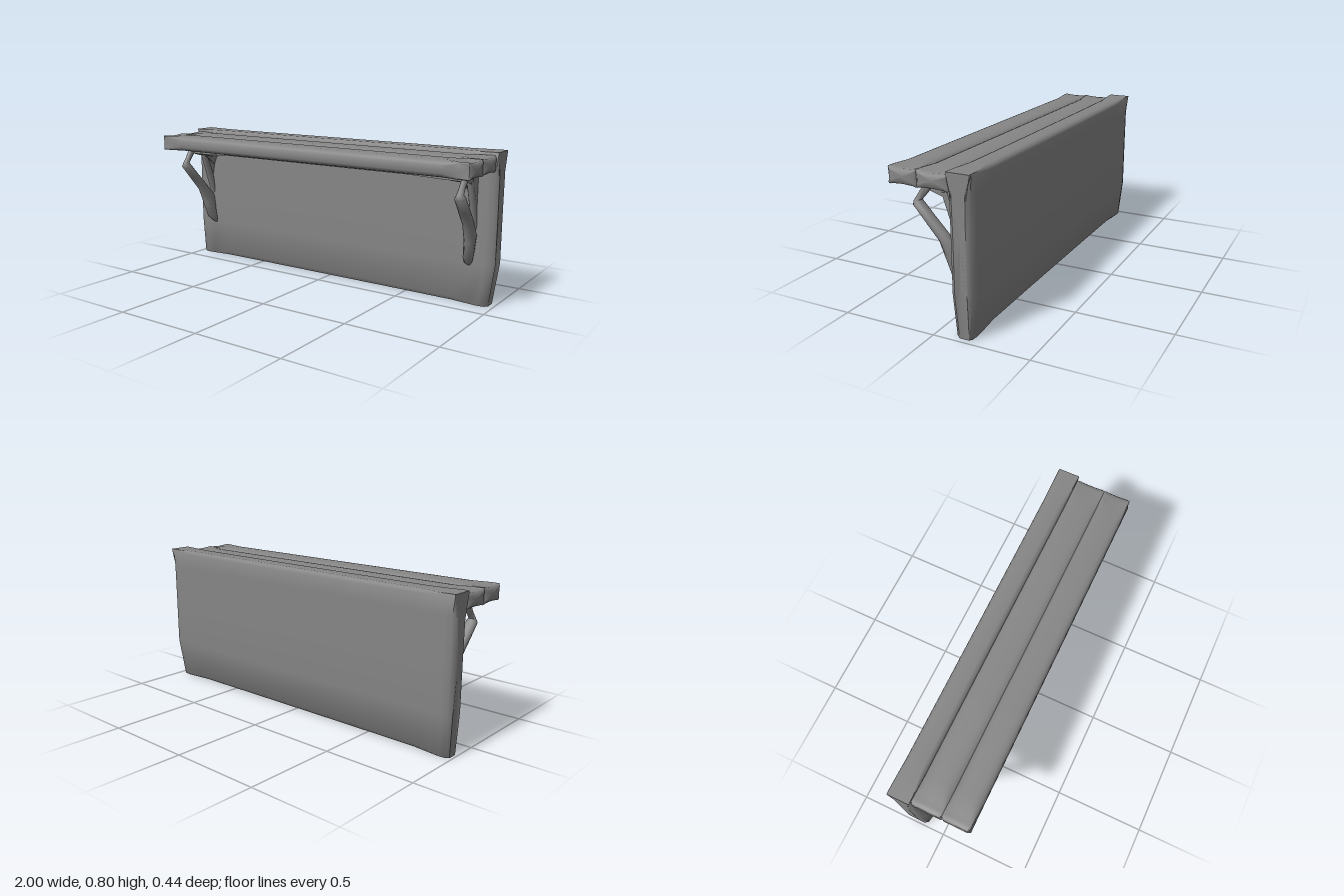
import * as THREE from 'three';
import { toCreasedNormals } from 'three/addons/utils/BufferGeometryUtils.js';

const { smoothstep } = THREE.MathUtils;

// Skin a list of equal-length rings of [x, y, z] and close both ends
function loft(name, rings, crease = 0.85) {
  const pos = [], index = [], n = rings[0].length;
  rings.forEach(r => r.forEach(p => pos.push(...p)));
  for (let i = 0; i < rings.length - 1; i++) {
    for (let j = 0; j < n; j++) {
      const a = i * n + j, b = i * n + (j + 1) % n;
      index.push(a, b, b + n, a, b + n, a + n);
    }
  }
  for (const i of [0, rings.length - 1]) {
    const c = pos.length / 3;
    pos.push(...[0, 1, 2].map(k => rings[i].reduce((s, p) => s + p[k], 0) / n));
    for (let j = 0; j < n; j++) {
      const a = i * n + j, b = i * n + (j + 1) % n;
      if (i === 0) index.push(c, b, a); else index.push(c, a, b);
    }
  }
  // Turn the skin outward if its enclosed volume is negative
  const v = k => new THREE.Vector3().fromArray(pos, k * 3);
  let volume = 0;
  for (let k = 0; k < index.length; k += 3) {
    volume += v(index[k]).dot(v(index[k + 1]).cross(v(index[k + 2])));
  }
  if (volume < 0) index.reverse();
  const g = new THREE.BufferGeometry();
  g.setAttribute('position', new THREE.Float32BufferAttribute(pos, 3));
  g.setIndex(index);
  const mesh = new THREE.Mesh(toCreasedNormals(g, crease), new THREE.MeshStandardMaterial({ color: 0x868686 }));
  mesh.name = name;
  return mesh;
}

const mirrored = half => [...half.map(x => -x), ...half.slice().reverse()];

// Upright panel: soft edges along the middle, rounded sides, flared top corners
function backPanel() {
  const inset = new Map([[1, 0.028], [0.985, 0.008]]);
  const rings = mirrored([1, 0.985, 0.95, 0.9, 0.8, 0.4]).map(x => {
    const c = 0.004 + 0.02 * (1 - smoothstep(Math.abs(x), 0.75, 0.985));
    const section = [
      [-0.097, 0.22], [-0.097, 0.5], [-0.097, 0.7], [-0.097, 0.8 - c], [-0.097 - 0.3 * c, 0.8 - 0.4 * c], [-0.097 - c, 0.798],
      [-0.217 + c, 0.798], [-0.217 + 0.3 * c, 0.8 - 0.4 * c], [-0.217, 0.8 - c], [-0.217, 0.7], [-0.217, 0.5], [-0.217, 0.22],
      [-0.195, c], [-0.195 + c, 0], [-0.098 - c, 0], [-0.098 - 0.3 * c, c],
    ];
    return section.map(([z, y]) => {
      // Sides are rounded front to back below the top corners
      const r = (inset.get(Math.abs(x)) ?? 0) * (1 - smoothstep(y, 0.68, 0.79));
      // Ends draw in toward the foot, a little more on the left
      const taper = 1 - (x > 0 ? 0.028 : 0.014) * Math.max(0, 1 - y / 0.22);
      return [x * taper, y, -0.157 + (z + 0.157) * (1 - r / 0.06)];
    });
  });
  return loft('backPanel', rings);
}

// Shelf board: pillowed middle, pinched corners and domed ends
function shelfBoard(name, zBack, zFront) {
  const cz = (zBack + zFront) / 2, hz = (zFront - zBack) / 2, hy = 0.044;
  const rings = mirrored([0.991, 0.982, 0.96, 0.93, 0.9, 0.84, 0.4]).map(x => {
    const end = smoothstep(Math.abs(x), 0.85, 0.98);
    const dome = Math.abs(x) > 0.985 ? 0.012 : 0;
    const power = 2 / (3.4 + 6 * end);
    return Array.from({ length: 24 }, (_, i) => {
      const t = i / 24 * Math.PI * 2, c = Math.cos(t), s = Math.sin(t);
      const dip = end * Math.cos(2 * t) ** 4;
      return [x, 0.742 + (hy - dome) * (1 - 0.2 * dip) * Math.sign(s) * Math.abs(s) ** power,
        cz + (hz - dome) * (1 - 0.08 * dip) * Math.sign(c) * Math.abs(c) ** power];
    });
  });
  return loft(name, rings);
}

// Apron under the shelf, arching down the panel at each end
function apron() {
  const half = [[0.9, 0.48], [0.88, 0.5], [0.865, 0.58], [0.845, 0.63], [0.81, 0.657], [0.75, 0.668], [0.6, 0.674]];
  const drop = new Map(half);
  const rings = mirrored(half.map(h => h[0])).map(x => {
    const y = drop.get(Math.abs(x));
    return [[0.06, 0.712], [0.06, Math.max(y, 0.667)], [-0.02, Math.max(y, 0.647)], [-0.1, y], [-0.1, 0.712]]
      .map(([z, yy]) => [x, yy, z]);
  });
  return loft('apron', rings);
}

// Rounded limb from stations [zOuter, yOuter, zInner, yInner, x, halfWidth]
function limb(name, stations, side) {
  return loft(name, stations.map(([zo, yo, zi, yi, x, w]) => Array.from({ length: 12 }, (_, i) => {
    const t = i / 12 * Math.PI * 2, k = (1 + Math.cos(t)) / 2;
    return [side * (x + w * Math.sin(t)), yi + (yo - yi) * k, zi + (zo - zi) * k];
  })), 1);
}

function bracket(side) {
  const g = new THREE.Group();
  g.name = side > 0 ? 'leftBracket' : 'rightBracket';
  // Bent main brace
  g.add(limb('brace', [
    [0.075, 0.72, 0.03, 0.715, 0.9, 0.02],
    [0.085, 0.693, 0.052, 0.665, 0.9, 0.016],
    [0.115, 0.645, 0.076, 0.638, 0.9, 0.015],
    [0.14, 0.608, 0.096, 0.616, 0.9, 0.018],
    [0.141, 0.588, 0.09, 0.604, 0.9, 0.029],
    [0.08, 0.515, 0.035, 0.541, 0.897, 0.03],
    [0.01, 0.43, -0.03, 0.47, 0.893, 0.03],
    [-0.018, 0.34, -0.1, 0.388, 0.887, 0.03],
    [-0.045, 0.25, -0.1, 0.28, 0.875, 0.028],
    [-0.075, 0.225, -0.1, 0.235, 0.868, 0.022],
    [-0.096, 0.21, -0.1, 0.212, 0.866, 0.008],
  ], side));
  // Inner strut from the apron back to the panel
  g.add(limb('strut', [
    [-0.003, 0.665, -0.045, 0.67, 0.888, 0.018],
    [-0.014, 0.63, -0.055, 0.635, 0.888, 0.017],
    [-0.053, 0.512, -0.095, 0.54, 0.888, 0.017],
    [-0.092, 0.395, -0.115, 0.44, 0.886, 0.018],
  ], side));
  return g;
}

export function createModel() {
  const model = new THREE.Group();
  model.name = 'wallShelf';
  model.add(
    backPanel(),
    shelfBoard('rearShelfBoard', -0.105, 0.071),
    shelfBoard('frontShelfBoard', 0.059, 0.218),
    apron(),
    bracket(1),
    bracket(-1),
  );
  return model;
}
